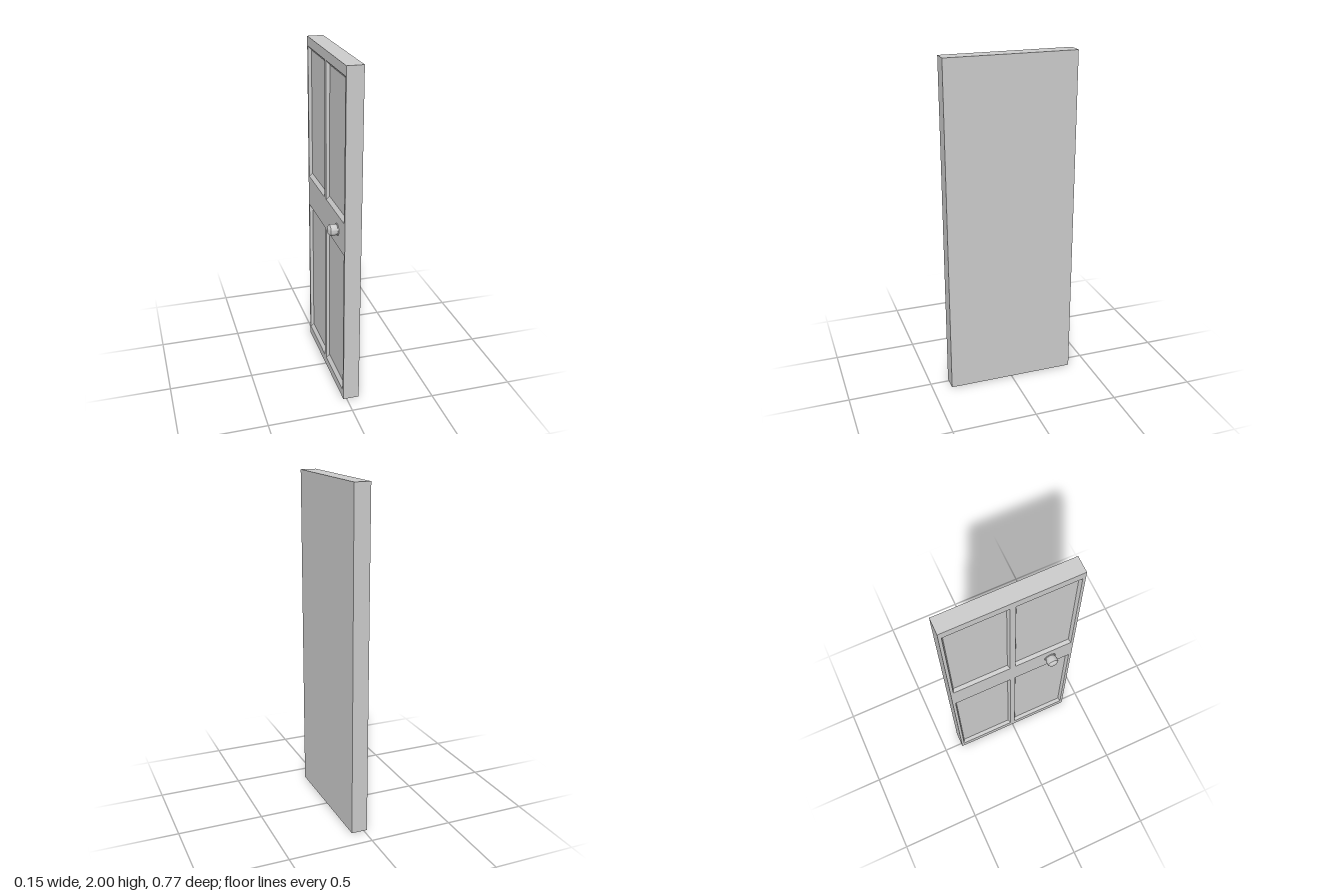
import * as THREE from 'three';
import { toCreasedNormals } from 'three/addons/utils/BufferGeometryUtils.js';

const FACE_X = -0.02, BACK_X = 0.075;
const material = new THREE.MeshStandardMaterial({ color: 0xcccccc });

// Corners of a rectangle in the z-y plane at depth x
function ring({ z0, z1, y0, y1 }, x) {
  return [[x, y0, z0], [x, y0, z1], [x, y1, z1], [x, y1, z0]];
}

// Four walls between two rectangles, closed at the far end
function tray(near, far, flip) {
  const positions = [];
  const quad = (a, b, c, d) => {
    const q = flip ? [a, c, b, a, d, c] : [a, b, c, a, c, d];
    q.forEach((p) => positions.push(...p));
  };
  for (let i = 0; i < 4; i++) {
    const j = (i + 1) % 4;
    quad(near[i], near[j], far[j], far[i]);
  }
  quad(...far);
  const geometry = new THREE.BufferGeometry();
  geometry.setAttribute('position', new THREE.Float32BufferAttribute(positions, 3));
  geometry.computeVertexNormals();
  return geometry;
}

// Rectangle scaled about its own centre
function shrink({ z0, z1, y0, y1 }, s) {
  const z = (z0 + z1) / 2, y = (y0 + y1) / 2;
  const w = (z1 - z0) / 2 * s, h = (y1 - y0) / 2 * s;
  return { z0: z - w, z1: z + w, y0: y - h, y1: y + h };
}

function outline(path, { z0, z1, y0, y1 }) {
  path.moveTo(z0, y0).lineTo(z1, y0).lineTo(z1, y1).lineTo(z0, y1).closePath();
  return path;
}

export function createModel() {
  const door = new THREE.Group();
  door.name = 'door';
  const add = (name, geometry) => {
    const mesh = new THREE.Mesh(geometry, material);
    mesh.name = name;
    door.add(mesh);
    return mesh;
  };

  // Edges and plain side of the door leaf
  const leaf = { z0: -0.385, z1: 0.385, y0: 0, y1: 2 };
  add('doorLeaf', tray(ring(leaf, FACE_X), ring(leaf, BACK_X), true));

  // Panelled side: a face with four openings, each a bevelled recess
  const face = outline(new THREE.Shape(), leaf);
  for (const [y0, y1] of [[0.055, 0.95], [1.14, 1.945]]) {
    for (const [z0, z1] of [[-0.368, -0.016], [0.016, 0.368]]) {
      const opening = { z0, z1, y0, y1 };
      face.holes.push(outline(new THREE.Path(), opening));
      add('recessedPanel', tray(ring(opening, FACE_X), ring(shrink(opening, 0.946), FACE_X + 0.018), false));
    }
  }
  const frame = add('panelFrame', new THREE.ShapeGeometry(face));
  frame.rotation.y = -Math.PI / 2;
  frame.position.x = FACE_X;

  // Knob and its rose, turned about the x axis
  const profile = [
    [0.035, 0], [0.035, 0.004], [0.029, 0.004], [0.031, 0.012],
    [0.033, 0.022], [0.033, 0.044], [0.017, 0.055], [0, 0.055],
  ].map(([r, h]) => new THREE.Vector2(r, h));
  const knob = add('knob', toCreasedNormals(new THREE.LatheGeometry(profile, 32), 0.5));
  knob.rotation.z = Math.PI / 2;
  knob.position.set(FACE_X, 1.05, 0.239);

  return door;
}
